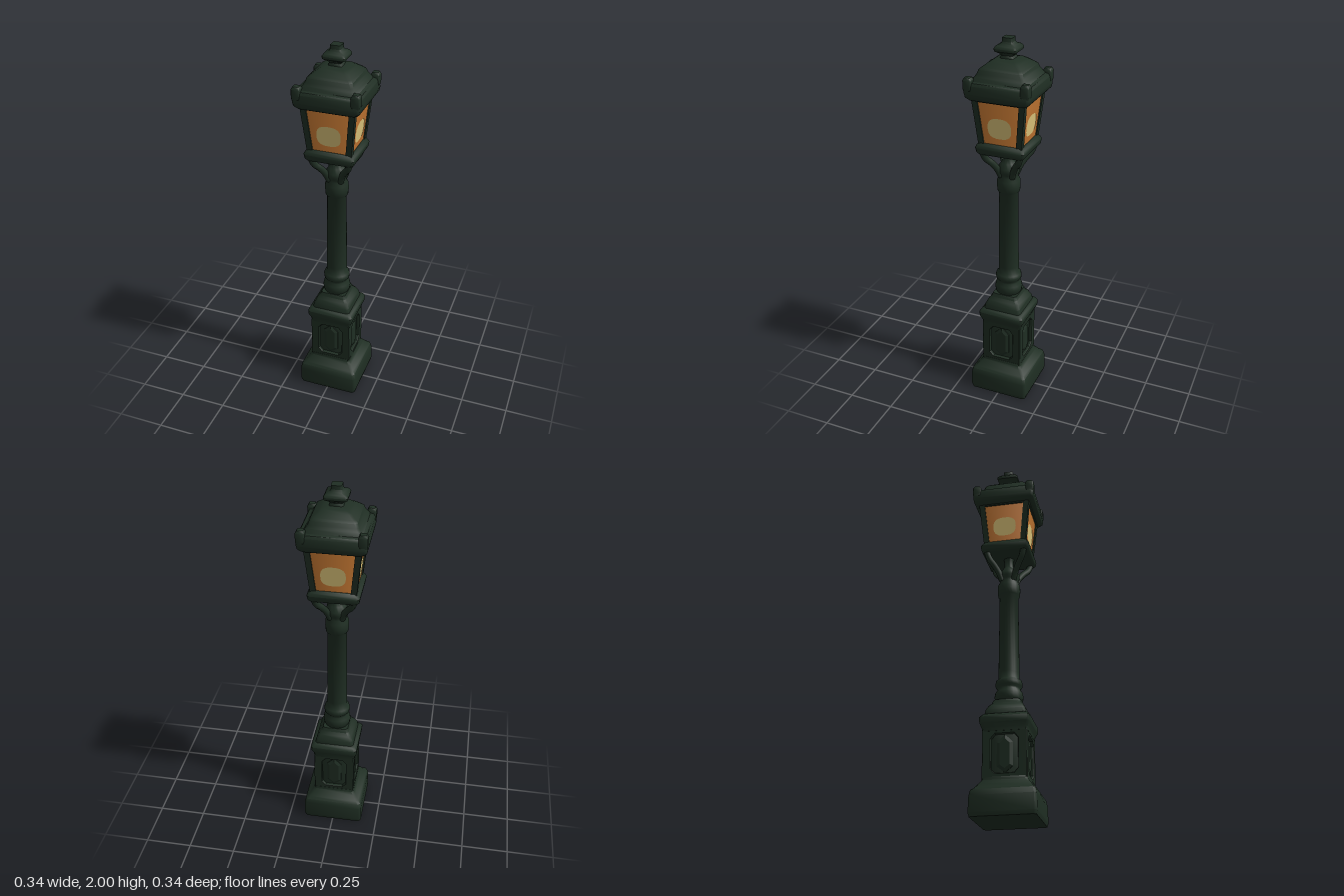
import * as THREE from 'three';
import { toCreasedNormals } from 'three/addons/utils/BufferGeometryUtils.js';

const iron = new THREE.MeshStandardMaterial({ color: 0x1f2e23 });
iron.name = 'dark green iron';
const amber = new THREE.MeshStandardMaterial({ color: 0xc87a34 });
amber.name = 'amber glass';
const glow = new THREE.MeshStandardMaterial({ color: 0xdcc47a });
glow.name = 'pale yellow glow';

const vec = ([r, y]) => new THREE.Vector2(r, y);

// Square section with small chamfered corners, lofted through [half width, y] rows
function squareLoft(rows, chamfer = 0.012) {
  const geo = new THREE.LatheGeometry(rows.map(vec), 8, Math.PI / 8);
  const p = geo.attributes.position;
  for (let i = 0; i < p.count; i++) {
    const x = p.getX(i), z = p.getZ(i), h = Math.hypot(x, z);
    const inner = h - Math.min(chamfer, h * 0.2);
    const wide = Math.abs(x) > Math.abs(z);
    p.setX(i, Math.sign(x) * (wide ? h : inner));
    p.setZ(i, Math.sign(z) * (wide ? inner : h));
  }
  return toCreasedNormals(geo, 0.8);
}

const roundLoft = (rows) => toCreasedNormals(new THREE.LatheGeometry(rows.map(vec), 24), 0.9);

function add(parent, name, geo, mat = iron) {
  const mesh = new THREE.Mesh(geo, mat);
  mesh.name = name;
  parent.add(mesh);
  return mesh;
}

function polygon(Type, points) {
  return new Type(points.map(vec));
}

export function createModel() {
  const model = new THREE.Group();
  model.name = 'streetLamp';

  // Pedestal
  add(model, 'plinth', squareLoft([
    [0, 0], [0.16, 0], [0.165, 0.02], [0.163, 0.1], [0.157, 0.128], [0.143, 0.14],
    [0.125, 0.165], [0.114, 0.18], [0.112, 0.195], [0.094, 0.197],
    [0.094, 0.42], [0.112, 0.422], [0.114, 0.44], [0.125, 0.465], [0.127, 0.495],
    [0.115, 0.51], [0.105, 0.515], [0.1, 0.54], [0.088, 0.565], [0.075, 0.58], [0.068, 0.6], [0, 0.6],
  ]));

  // Framed panel on each pedestal face with a long faceted boss
  const frameShape = polygon(THREE.Shape, [[-0.108, 0.19], [0.108, 0.19], [0.108, 0.428], [-0.108, 0.428]]);
  frameShape.holes.push(polygon(THREE.Path, [
    [-0.048, 0.21], [-0.07, 0.235], [-0.07, 0.385], [-0.048, 0.41],
    [0.048, 0.41], [0.07, 0.385], [0.07, 0.235], [0.048, 0.21],
  ]));
  const frameGeo = new THREE.ExtrudeGeometry(frameShape, {
    depth: 0.012, bevelEnabled: true, bevelSize: 0.003, bevelThickness: 0.005, bevelSegments: 1,
  });
  const bossShape = polygon(THREE.Shape, [
    [-0.025, 0.255], [0, 0.235], [0.025, 0.255], [0.025, 0.36], [0, 0.385], [-0.025, 0.36],
  ]);
  const bossGeo = new THREE.ExtrudeGeometry(bossShape, {
    depth: 0.004, bevelEnabled: true, bevelSize: 0.015, bevelThickness: 0.008, bevelSegments: 1,
  });

  // Column with its rings and collar
  add(model, 'column', roundLoft([
    [0, 0.58], [0.06, 0.59], [0.071, 0.61], [0.074, 0.63], [0.07, 0.65], [0.06, 0.665], [0.06, 0.675],
    [0.068, 0.685], [0.07, 0.7], [0.066, 0.715], [0.055, 0.725], [0.054, 0.76], [0.05, 1.195],
    [0.058, 1.205], [0.061, 1.235], [0.06, 1.265], [0.05, 1.285], [0.05, 1.3], [0.058, 1.315],
    [0.056, 1.335], [0.04, 1.36], [0.026, 1.38], [0.024, 1.42], [0.035, 1.45], [0, 1.45],
  ]));

  // Lantern floor, glass body and head rail
  add(model, 'lanternFloor', squareLoft([
    [0, 1.43], [0.118, 1.43], [0.127, 1.44], [0.131, 1.465], [0.124, 1.48], [0.115, 1.49], [0, 1.49],
  ]));
  add(model, 'glass', squareLoft([[0.108, 1.485], [0.131, 1.72]], 0.004), amber);
  add(model, 'headRail', squareLoft([
    [0.128, 1.708], [0.138, 1.708], [0.145, 1.74], [0.125, 1.74],
  ]));

  // Roof in steps, then the finial
  add(model, 'roof', squareLoft([
    [0, 1.715], [0.15, 1.715], [0.164, 1.73], [0.168, 1.75], [0.165, 1.79], [0.157, 1.803],
    [0.14, 1.806], [0.128, 1.826], [0.12, 1.838], [0.113, 1.858], [0.102, 1.868],
    [0.08, 1.885], [0.062, 1.897], [0.035, 1.902], [0, 1.902],
  ]));
  add(model, 'finial', squareLoft([
    [0.036, 1.897], [0.03, 1.915], [0.038, 1.925], [0.056, 1.937], [0.058, 1.95],
    [0.05, 1.962], [0.032, 1.97], [0.026, 1.98], [0.026, 2], [0, 2],
  ], 0.008));

  // Rounded lamp glow outline
  const outline = [];
  for (let i = 0; i < 28; i++) {
    const a = (i / 28) * Math.PI * 2, c = Math.cos(a), s = Math.sin(a);
    outline.push([
      0.062 * Math.sign(c) * Math.abs(c) ** 0.75,
      0.054 * Math.sign(s) * Math.abs(s) ** 0.75,
    ]);
  }
  const glowGeo = new THREE.ShapeGeometry(polygon(THREE.Shape, outline));

  // Slanted corner post
  const postGeo = new THREE.BoxGeometry(0.03, 0.25, 0.03);
  postGeo.translate(0, 1.603, 0);
  const p = postGeo.attributes.position;
  for (let i = 0; i < p.count; i++) {
    const mid = 0.1 + (p.getY(i) - 1.485) * 0.1;
    p.setX(i, p.getX(i) + mid);
    p.setZ(i, p.getZ(i) + mid);
  }
  postGeo.computeVertexNormals();

  // Curved bracket under each corner
  const bracketGeo = new THREE.TubeGeometry(new THREE.CatmullRomCurve3(
    [[0.03, 1.29], [0.046, 1.335], [0.066, 1.37], [0.088, 1.4], [0.104, 1.45]]
      .map(([d, y]) => new THREE.Vector3(d, y, d))), 16, 0.017, 8);

  const knobGeo = squareLoft([
    [0.019, 1.76], [0.022, 1.775], [0.022, 1.815], [0.015, 1.828], [0, 1.83],
  ], 0.006);

  // Repeat face and corner parts on all four sides
  for (let i = 0; i < 4; i++) {
    const side = new THREE.Group();
    side.name = 'side' + (i + 1);
    side.rotation.y = i * Math.PI / 2;
    model.add(side);
    add(side, 'panelFrame', frameGeo).position.z = 0.094;
    add(side, 'panelBoss', bossGeo).position.z = 0.094;
    const lamp = add(side, 'lampGlow', glowGeo, glow);
    lamp.position.set(0, 1.577, 0.1185);
    lamp.rotation.x = Math.atan(0.098);
    add(side, 'cornerPost', postGeo);
    add(side, 'bracket', bracketGeo);
    add(side, 'roofKnob', knobGeo).position.set(0.147, 0, 0.147);
  }

  return model;
}
